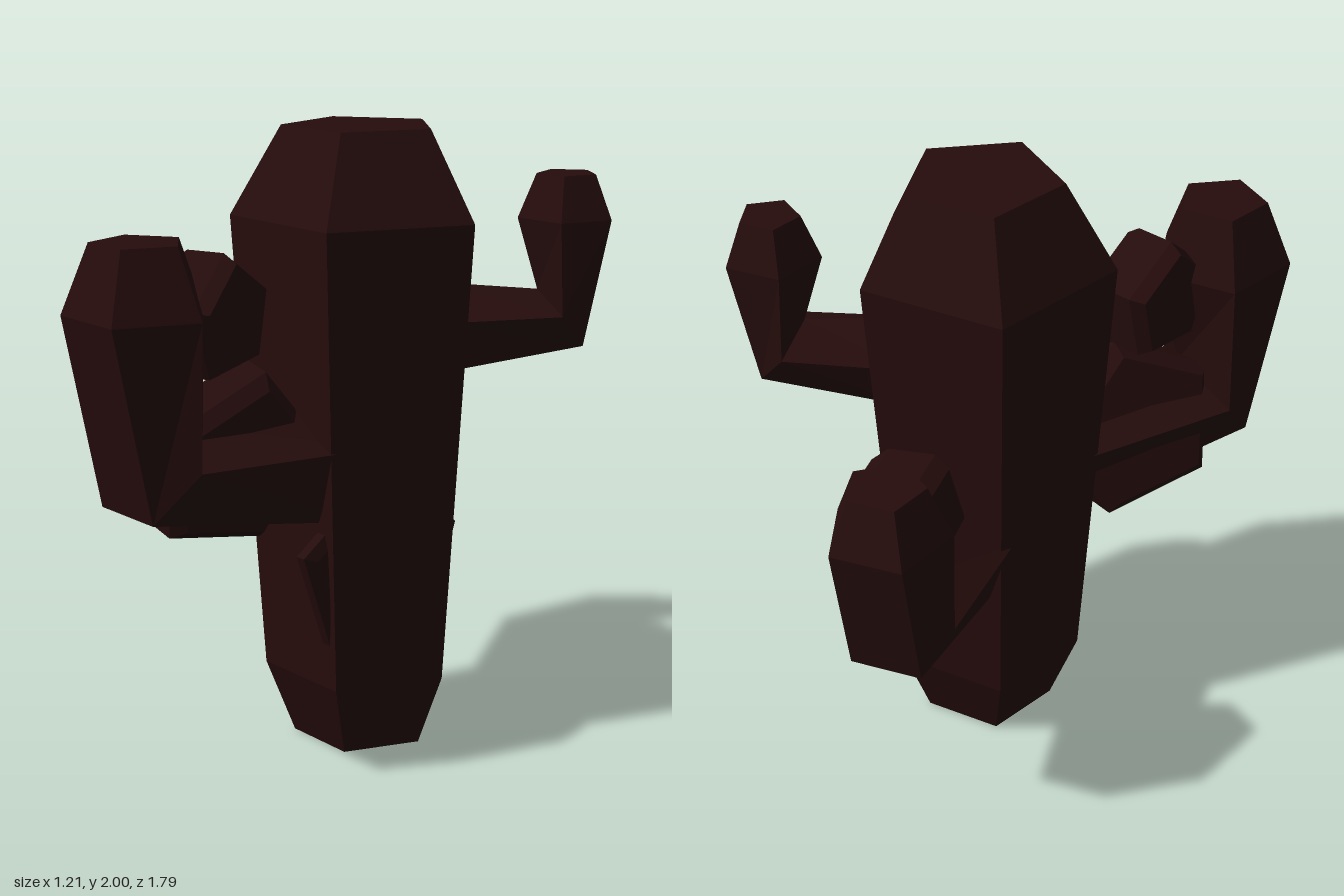
import * as THREE from 'three';

const material = new THREE.MeshStandardMaterial({ color: 0x260c0c, flatShading: true });
const CENTRE = new THREE.Vector3(0.115, 0, -0.13); // trunk axis

// Five corners; unspun, a flat side faces outward (p > 0) and one corner inward.
const pentagon = (spin = 0) => [0, 1, 2, 3, 4].map((k) => {
  const t = THREE.MathUtils.degToRad(36 + 72 * k + spin);
  return { p: Math.cos(t), w: Math.sin(t) };
});
const PENTAGON = pentagon();

// Closed faceted skin through a list of rings.
function loft(name, rings) {
  const pos = [];
  const tri = (a, b, c) => [a, b, c].forEach((v) => pos.push(v.x, v.y, v.z));
  const n = rings[0].length;
  for (let r = 0; r < rings.length - 1; r++) {
    const a = rings[r], b = rings[r + 1];
    for (let i = 0; i < n; i++) {
      const j = (i + 1) % n;
      tri(a[i], a[j], b[j]);
      tri(a[i], b[j], b[i]);
    }
  }
  const first = rings[0], last = rings[rings.length - 1];
  for (let i = 1; i < n - 1; i++) {
    tri(first[0], first[i + 1], first[i]);
    tri(last[0], last[i], last[i + 1]);
  }
  const geometry = new THREE.BufferGeometry();
  geometry.setAttribute('position', new THREE.Float32BufferAttribute(pos, 3));
  geometry.computeVertexNormals();
  const mesh = new THREE.Mesh(geometry, material);
  mesh.name = name;
  return mesh;
}

// Upright pentagonal trunk, tapered at both ends.
function makeTrunk() {
  const profile = [[0, 0.22, -0.015], [0.24, 0.31, -0.01], [1.72, 0.41, 0], [2, 0.25, 0]];
  return loft('trunk', profile.map(([y, r, dz]) => PENTAGON.map(({ p, w }) =>
    new THREE.Vector3(CENTRE.x + w * r, y, CENTRE.z + dz + p * r))));
}

// Arm leaving the trunk along (dx, dz), with a mitred elbow and a leaning tip.
function makeArm(name, { dx, dz, r, reach, lean, root, drop, elbow, shoulder, top }) {
  const d = new THREE.Vector3(dx, 0, dz).normalize();
  const side = new THREE.Vector3(d.z, 0, -d.x);
  const at = (s, y, w) => CENTRE.clone().addScaledVector(d, s).addScaledVector(side, w).setY(y);
  const out = reach + 0.809 * r - lean;
  return loft(name, [
    PENTAGON.map(({ p, w }) => at(root, elbow - drop + (0.809 - p) * r, w * r)),
    PENTAGON.map(({ p, w }) => {
      const t = (0.809 - p) / 1.809;
      return at(out - t * r * 0.85, elbow + t * r * 1.1, w * r);
    }),
    PENTAGON.map(({ p, w }) => at(reach + p * r, shoulder, w * r)),
    PENTAGON.map(({ p, w }) => at(reach + p * r * 0.63, top, w * r * 0.63)),
  ]);
}

// Short chamfered pentagonal stump between two points.
function makeKnot(name, from, to, r, spin) {
  const a = new THREE.Vector3(...from), b = new THREE.Vector3(...to);
  const q = new THREE.Quaternion().setFromUnitVectors(
    new THREE.Vector3(0, 1, 0), b.clone().sub(a).normalize());
  const stations = [[0, 0.85], [0.2, 1], [0.8, 1], [1, 0.85]];
  return loft(name, stations.map(([t, k]) => pentagon(spin).map(({ p, w }) =>
    new THREE.Vector3(w * r * k, 0, p * r * k).applyQuaternion(q).add(a.clone().lerp(b, t)))));
}

export function createModel() {
  const group = new THREE.Group();
  group.name = 'cactus';
  group.add(
    makeTrunk(),
    makeArm('frontArm', {
      dx: 0, dz: 1, r: 0.23, reach: 0.84, lean: 0.13, root: 0.1, drop: 0.13,
      elbow: 0.895, shoulder: 1.5, top: 1.715,
    }),
    makeArm('backRightArm', {
      dx: -0.535, dz: -0.575, r: 0.195, reach: 0.785, lean: 0.1, root: 0.25, drop: 0.125,
      elbow: 0.755, shoulder: 1.23, top: 1.4,
    }),
    makeArm('backLeftArm', {
      dx: 0.345, dz: -0.56, r: 0.155, reach: 0.655, lean: 0.08, root: 0.22, drop: 0.08,
      elbow: 1.3, shoulder: 1.7, top: 1.84,
    }),
    // Sideways stumps at the arm joints, and a ridge breaking through the trunk
    makeKnot('frontArmUpperKnot', [-0.01, 1.46, 0.48], [0.19, 1.46, 0.4], 0.2, 45),
    makeKnot('frontArmLowerKnot', [-0.04, 1.03, 0.36], [0.16, 0.98, 0.36], 0.31, 8),
    makeKnot('backRightArmKnot', [-0.26, 1.01, -0.47], [-0.08, 0.99, -0.65], 0.26, 27),
    makeKnot('trunkRidge', [0.23, 0.6, -0.09], [0.29, 0.6, -0.09], 0.33, 19),
  );
  return group;
}
